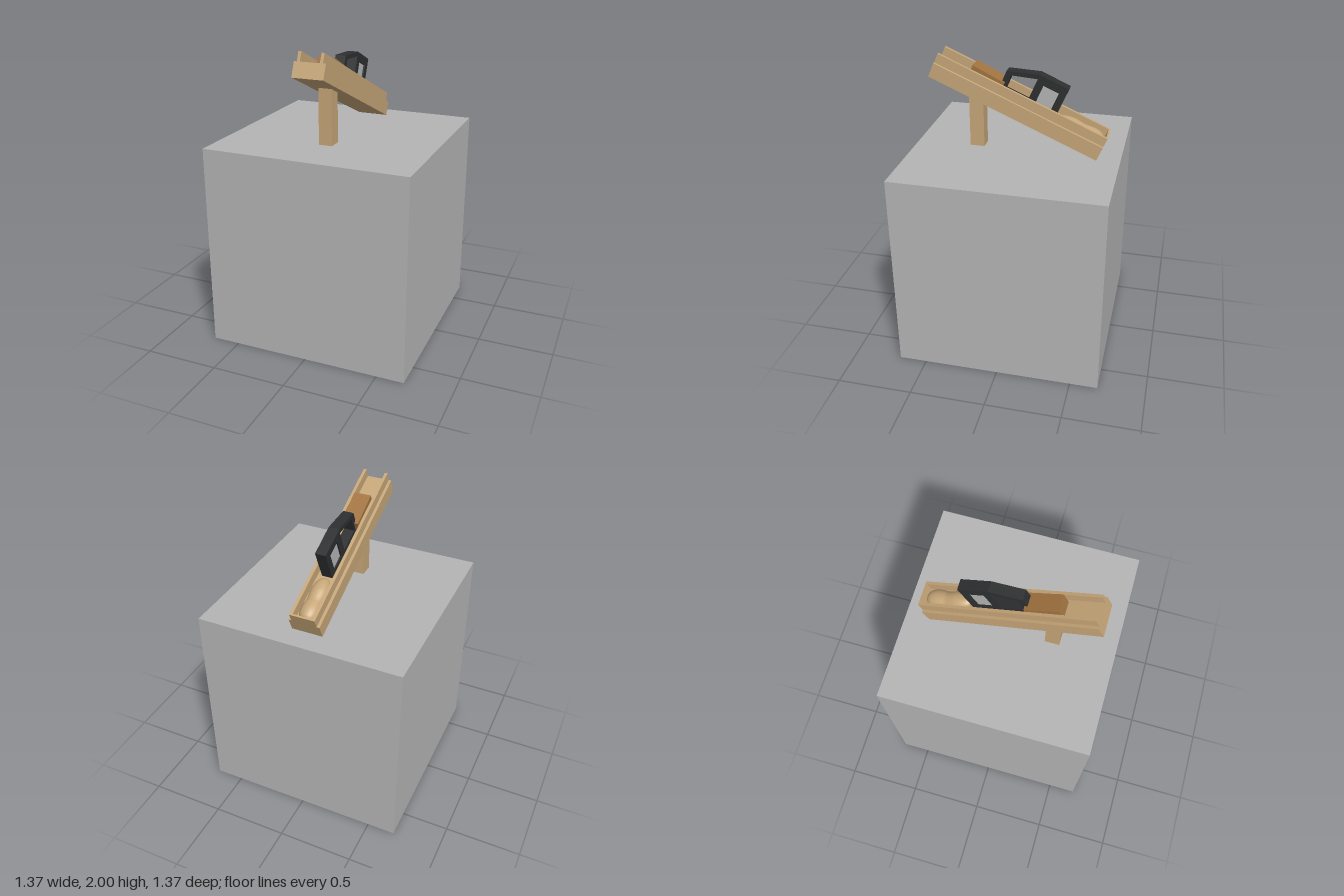
import * as THREE from 'three';

const material = (name, color) => {
  const m = new THREE.MeshStandardMaterial({ color });
  m.name = name;
  return m;
};

export function createModel() {
  const grey = material('stone grey', 0xb4b4b4);
  const tan = material('light wood', 0xc6a678);
  const brown = material('brown wood', 0xa27440);
  const black = material('black metal', 0x2d2f30);

  const model = new THREE.Group();
  model.name = 'inclinedTrackOnBlock';

  const add = (parent, name, geometry, mat) => {
    const mesh = new THREE.Mesh(geometry, mat);
    mesh.name = name;
    parent.add(mesh);
    return mesh;
  };
  // Box given by its lower and upper limits on each axis
  const box = (parent, name, mat, [x0, x1], [y0, y1], [z0, z1]) => {
    const mesh = add(parent, name, new THREE.BoxGeometry(x1 - x0, y1 - y0, z1 - z0), mat);
    mesh.position.set((x0 + x1) / 2, (y0 + y1) / 2, (z0 + z1) / 2);
    return mesh;
  };
  // Side profile in (length, height), extruded evenly across x
  const profile = (parent, name, mat, outline, holes, width) => {
    const toPoints = (list) => list.map(([s, t]) => new THREE.Vector2(s, t));
    const shape = new THREE.Shape(toPoints(outline));
    holes.forEach((h) => shape.holes.push(new THREE.Path(toPoints(h))));
    const geometry = new THREE.ExtrudeGeometry(shape, { depth: width, bevelEnabled: false });
    geometry.translate(0, 0, -width / 2);
    geometry.rotateY(-Math.PI / 2);
    return add(parent, name, geometry, mat);
  };

  // Block and supporting post
  box(model, 'baseBlock', grey, [-0.685, 0.685], [0, 1.37], [-0.685, 0.685]);
  box(model, 'supportPost', tan, [-0.045, 0.045], [1.37, 1.755], [0.228, 0.324]);

  // Sloping track: z runs up its length from the low rear edge, y is its height
  const track = new THREE.Group();
  track.name = 'track';
  track.position.set(0, 1.37, -0.53);
  track.rotation.x = -0.409;
  model.add(track);

  box(track, 'trackBeam', tan, [-0.104, 0.104], [0, 0.1], [0, 1.205]);
  for (const side of [-1, 1]) {
    const x = [0.065 * side, 0.085 * side].sort((a, b) => a - b);
    box(track, side > 0 ? 'leftRail' : 'rightRail', tan, x, [0.1, 0.163], [0, 1.205]);
  }
  box(track, 'endStop', tan, [-0.065, 0.065], [0.1, 0.163], [0, 0.012]);

  // Rounded, waisted body lying in the channel
  const curve = new THREE.SplineCurve([
    [0, 0.012], [0.036, 0.024], [0.055, 0.052], [0.061, 0.09], [0.058, 0.13], [0.053, 0.165],
    [0.057, 0.205], [0.059, 0.24], [0.052, 0.285], [0.034, 0.325], [0, 0.348],
  ].map(([r, s]) => new THREE.Vector2(r, s)));
  const points = curve.getPoints(40);
  points.forEach((p) => { p.x = Math.max(0, p.x); });
  const body = add(track, 'roundedBody', new THREE.LatheGeometry(points, 32), tan);
  body.rotation.x = Math.PI / 2;
  body.scale.z = 0.85;
  body.position.y = 0.1;

  // Sliding wooden block in front of the handle
  const slider = profile(track, 'slidingBlock', brown,
    [[0.745, 0.1], [0.977, 0.1], [0.977, 0.188], [0.745, 0.176]], [], 0.115);
  slider.position.x = -0.003;

  // Angular handle frame with two openings
  profile(track, 'handleFrame', black,
    [[0.358, 0.1], [0.766, 0.1], [0.766, 0.25], [0.568, 0.325], [0.358, 0.325]],
    [
      [[0.405, 0.125], [0.515, 0.125], [0.515, 0.27], [0.405, 0.27]],
      [[0.565, 0.125], [0.726, 0.125], [0.726, 0.236], [0.565, 0.293]],
    ], 0.071);
  box(track, 'handlePanel', grey, [-0.025, 0.025], [0.11, 0.272], [0.403, 0.517]);

  return model;
}
